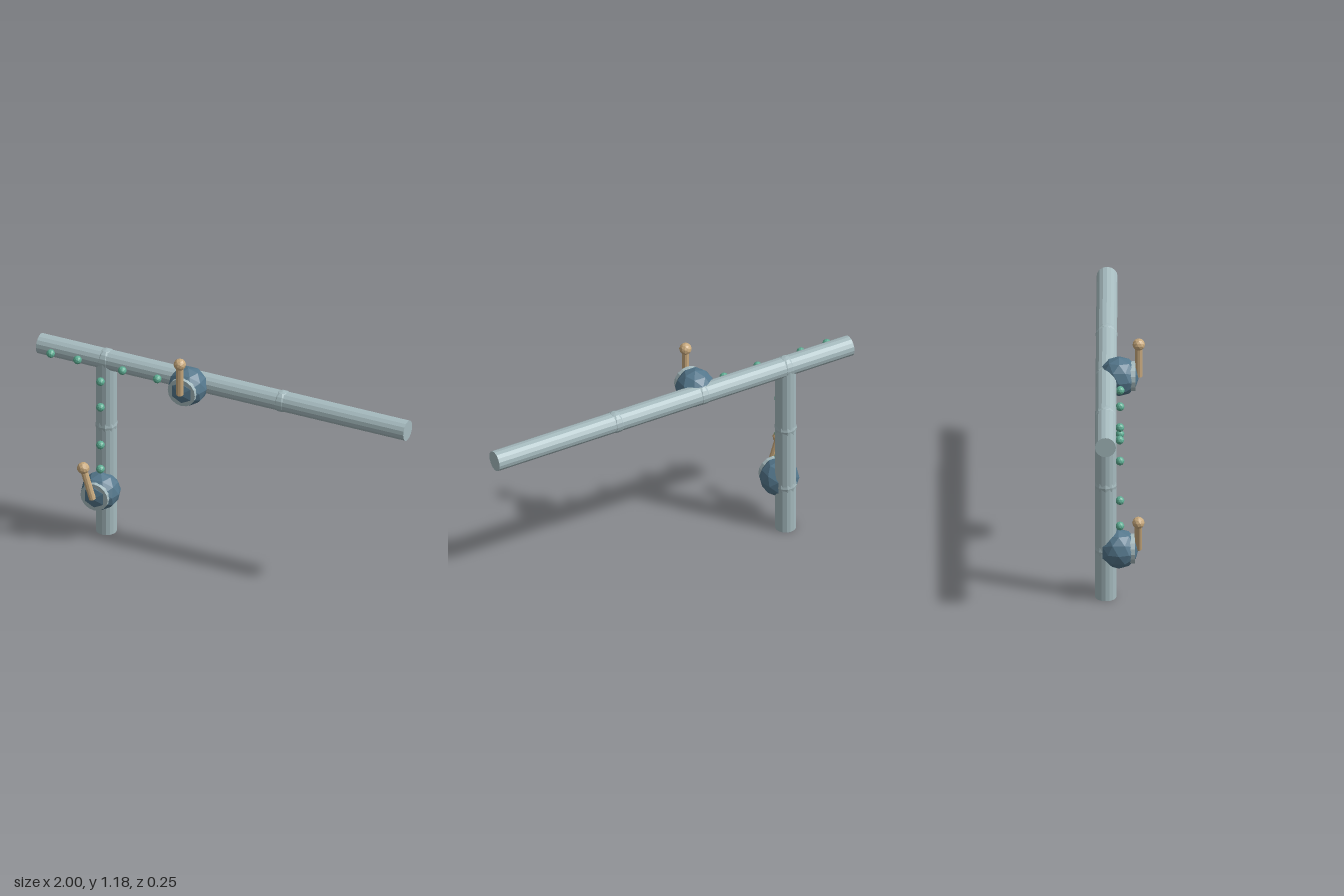
import * as THREE from 'three';

const PIPE_Z = -0.067, PIPE_R = 0.052, PIPE_Y = 0.978, BRANCH_X = -0.64;

function material(name, color) {
  const m = new THREE.MeshStandardMaterial({ color, flatShading: true });
  m.name = name;
  return m;
}

export function createModel() {
  const root = new THREE.Group();
  const steel = material('pale steel', 0xa6bbbf);
  const blue = material('slate blue', 0x54778c);
  const tan = material('tan', 0xc9aa7e);
  const green = material('sea green', 0x5fae94);

  const add = (parent, name, geometry, mat, x, y, z) => {
    const mesh = new THREE.Mesh(geometry, mat);
    mesh.name = name;
    mesh.position.set(x, y, z);
    parent.add(mesh);
    return mesh;
  };

  // Main pipe and the branch dropping from it
  const main = add(root, 'mainPipe', new THREE.CylinderGeometry(PIPE_R, PIPE_R, 2, 16), steel, 0, PIPE_Y, PIPE_Z);
  main.rotation.z = Math.PI / 2;
  add(root, 'branchPipe', new THREE.CylinderGeometry(PIPE_R, PIPE_R, PIPE_Y, 16), steel, BRANCH_X, PIPE_Y / 2, PIPE_Z);

  // Knuckles just breaking the pipe surface at each joint
  const knuckle = new THREE.SphereGeometry(0.056, 10, 8);
  for (const [x, y] of [[BRANCH_X, PIPE_Y], [-0.165, PIPE_Y], [0.32, PIPE_Y], [BRANCH_X, 0.61], [BRANCH_X, 0.262]])
    add(root, 'pipeJoint', knuckle, steel, x, y, PIPE_Z);

  // Beads along the front of both pipes
  const bead = new THREE.IcosahedronGeometry(0.022, 1);
  for (const x of [-0.911, -0.765, -0.521, -0.331]) add(root, 'mainBead', bead, green, x, PIPE_Y, 0.003);
  for (const y of [0.885, 0.738, 0.523, 0.385]) add(root, 'branchBead', bead, green, BRANCH_X, y, 0.003);

  // Valve: faceted body, front collar and a lever with a ball end
  const bodyGeo = new THREE.IcosahedronGeometry(0.099, 1);
  const collarGeo = new THREE.CylinderGeometry(0.074, 0.074, 0.034, 16);
  const leverGeo = new THREE.CylinderGeometry(0.018, 0.018, 0.172, 10);
  const ballGeo = new THREE.IcosahedronGeometry(0.031, 1);
  const addValve = (name, x, y, tilt) => {
    const valve = new THREE.Group();
    valve.name = name;
    valve.position.set(x, y, 0);
    add(valve, 'valveBody', bodyGeo, blue, 0, 0, -0.003);
    add(valve, 'collar', collarGeo, steel, 0, 0, 0.06).rotation.x = Math.PI / 2;
    const lever = new THREE.Group();
    lever.name = 'lever';
    lever.rotation.z = tilt;
    add(lever, 'leverRod', leverGeo, tan, 0, 0.086, 0.094);
    add(lever, 'leverBall', ballGeo, tan, 0, 0.172, 0.094);
    valve.add(lever);
    root.add(valve);
  };
  addValve('mainValve', -0.165, PIPE_Y, 0);
  addValve('branchValve', BRANCH_X, 0.262, 0.3);

  return root;
}
